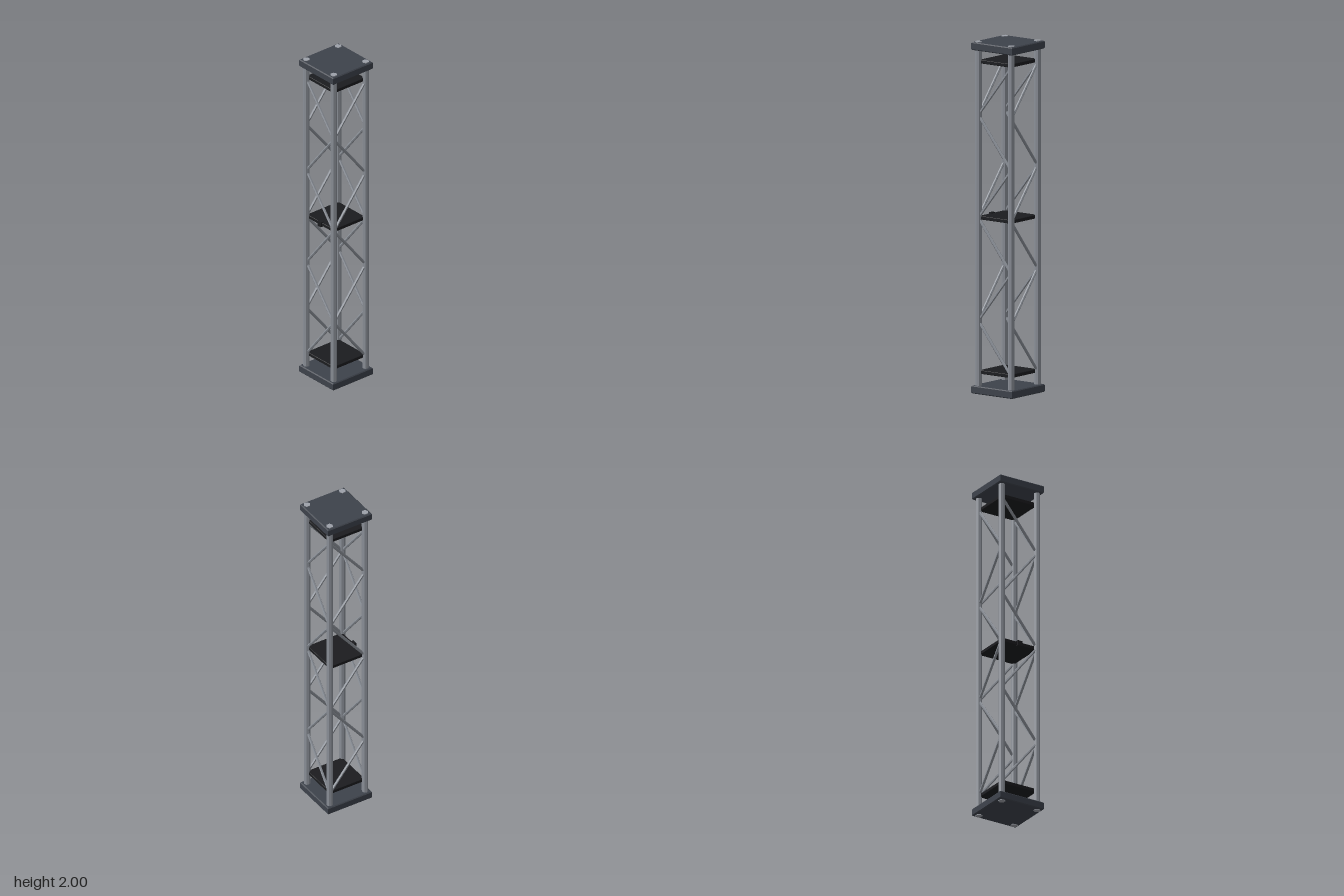
import * as THREE from 'three';

const material = (color) => new THREE.MeshStandardMaterial({ color, flatShading: true });

export function createModel() {
  const group = new THREE.Group();
  const plateMat = material(0x3d424b);
  const steel = material(0x8b9098);
  const boltMat = material(0x9da1a9);
  const black = material(0x1b1c1f);
  const P = 0.117; // post centre offset

  const add = (name, geometry, mat, x = 0, y = 0, z = 0) => {
    const mesh = new THREE.Mesh(geometry, mat);
    mesh.name = name;
    mesh.position.set(x, y, z);
    group.add(mesh);
    return mesh;
  };

  // Square slab with chamfered edges, centred on its own origin
  const slab = (half, height, bevel) => {
    const s = half - bevel;
    const shape = new THREE.Shape();
    shape.moveTo(-s, -s).lineTo(s, -s).lineTo(s, s).lineTo(-s, s).closePath();
    const geometry = new THREE.ExtrudeGeometry(shape, {
      depth: height - 2 * bevel, bevelEnabled: true,
      bevelSize: bevel, bevelThickness: bevel, bevelSegments: 1,
    });
    return geometry.center().rotateX(-Math.PI / 2);
  };

  // End plates
  add('basePlate', slab(0.146, 0.045, 0.005), plateMat, 0, 0.0265);
  add('topPlate', slab(0.146, 0.045, 0.005), plateMat, 0, 1.9735);

  // Inner shelves
  const shelf = slab(0.115, 0.02, 0.002);
  for (const y of [0.125, 1, 1.885]) add('shelf', shelf, black, 0, y);

  // Small block on the front edge of the middle shelf
  add('frontBlock', new THREE.BoxGeometry(0.03, 0.03, 0.02), black, 0, 1, 0.115);

  // Corner posts with hexagonal bolts through both plates
  const post = new THREE.CylinderGeometry(0.0185, 0.0185, 1.92, 8);
  const bolt = new THREE.CylinderGeometry(0.02, 0.02, 0.03, 6);
  for (const x of [-P, P]) {
    for (const z of [-P, P]) {
      add('cornerPost', post, steel, x, 1, z);
      add('topBolt', bolt, boltMat, x, 1.985, z);
      add('baseBolt', bolt, boltMat, x, 0.015, z);
    }
  }

  // Zigzag braces on all four faces
  const up = new THREE.Vector3(0, 1, 0);
  const brace = (a, b) => {
    const dir = b.clone().sub(a);
    const rod = add('brace', new THREE.CylinderGeometry(0.008, 0.008, dir.length(), 6), steel);
    rod.position.copy(a).add(b).multiplyScalar(0.5);
    rod.quaternion.setFromUnitVectors(up, dir.normalize());
  };
  const nodeY = (i) => 0.125 + i * (1.75 / 6);
  const nodeSide = (i) => (i % 2 ? P : -P);
  for (const face of [-P, P]) {
    for (let i = 0; i < 6; i++) {
      brace(new THREE.Vector3(nodeSide(i), nodeY(i), face),
        new THREE.Vector3(nodeSide(i + 1), nodeY(i + 1), face));
      brace(new THREE.Vector3(face, nodeY(i), nodeSide(i)),
        new THREE.Vector3(face, nodeY(i + 1), nodeSide(i + 1)));
    }
  }
  return group;
}
